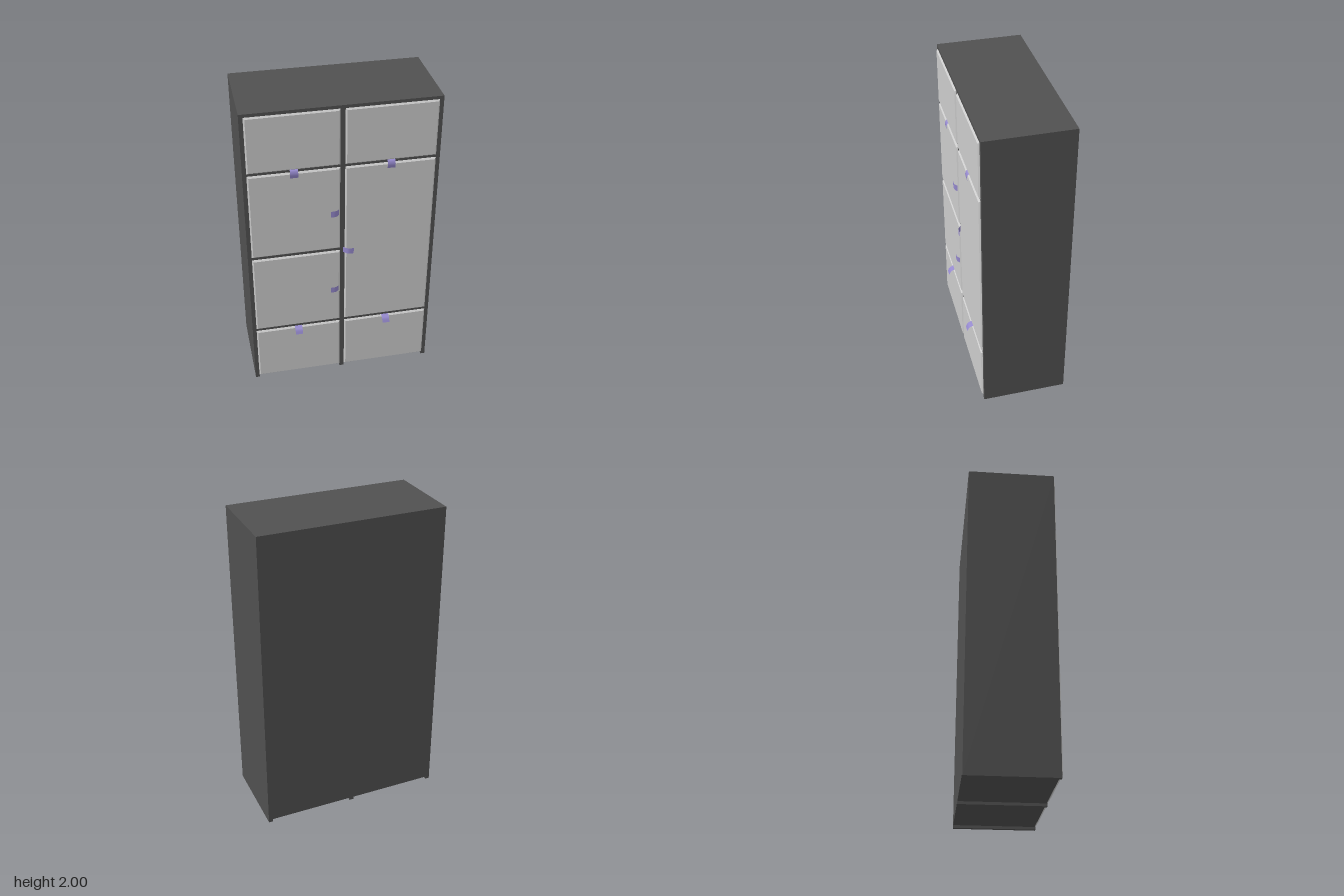
import * as THREE from 'three';

const W = 0.595, BACK = -0.295, FRONT = 0.25, T = 0.028;

const frameMat = new THREE.MeshStandardMaterial({ color: 0x505050 });
const doorMat = new THREE.MeshStandardMaterial({ color: 0xcccccc });
const tabMat = new THREE.MeshStandardMaterial({ color: 0x9488cc, side: THREE.DoubleSide });

// Box given by its minimum and maximum corners
function panel(name, x0, x1, y0, y1, z0 = BACK, z1 = FRONT) {
  const mesh = new THREE.Mesh(new THREE.BoxGeometry(x1 - x0, y1 - y0, z1 - z0), frameMat);
  mesh.position.set((x0 + x1) / 2, (y0 + y1) / 2, (z0 + z1) / 2);
  mesh.name = name;
  return mesh;
}

// Door leaf with chamfered front edges
function door(name, x0, x1, y0, y1) {
  const c = 0.009;
  const shape = new THREE.Shape();
  shape.moveTo(x0 + c, y0 + c);
  shape.lineTo(x1 - c, y0 + c);
  shape.lineTo(x1 - c, y1 - c);
  shape.lineTo(x0 + c, y1 - c);
  const geo = new THREE.ExtrudeGeometry(shape, {
    depth: 0.008, bevelEnabled: true, bevelSegments: 1, bevelSize: c, bevelThickness: 0.009,
  });
  geo.translate(0, 0, 0.243);
  const mesh = new THREE.Mesh(geo, doorMat);
  mesh.name = name;
  return mesh;
}

// Thin curved pull tab, reaching away from the door edge in the direction of angle
function pullTab(name, x, y, angle, width, profile) {
  const curve = new THREE.CatmullRomCurve3(profile.map(([d, z]) => new THREE.Vector3(d, 0, z)));
  const n = 12;
  const geo = new THREE.PlaneGeometry(1, width, n, 1);
  const pos = geo.attributes.position;
  for (let i = 0; i < pos.count; i++) {
    const p = curve.getPoint(THREE.MathUtils.clamp(pos.getX(i) + 0.5, 0, 1));
    pos.setX(i, p.x);
    pos.setZ(i, p.z);
  }
  geo.computeVertexNormals();
  const mesh = new THREE.Mesh(geo, tabMat);
  mesh.position.set(x, y, 0);
  mesh.rotation.z = angle;
  mesh.name = name;
  return mesh;
}

export function createModel() {
  const model = new THREE.Group();
  model.name = 'wardrobe';

  // Carcass: uprights stand on the floor, the rest sits slightly above it
  model.add(
    panel('rightSide', -W, -W + T, 0, 2),
    panel('leftSide', W - T, W, 0, 2),
    panel('centreDivider', -0.015, 0.015, 0, 1.98),
    panel('topPanel', -W + T, W - T, 1.978, 2),
    panel('bottomPanel', -W + T, W - T, 0.018, 0.03, BACK, 0.245),
    panel('backPanel', -W + T, W - T, 0.018, 1.978, BACK, BACK + 0.012),
  );

  // Shelves behind the gaps between the doors
  for (const s of [-1, 1]) {
    const levels = s < 0 ? [0.42, 1.0, 1.605] : [0.42, 1.605];
    for (const y of levels) {
      const x = [s * 0.015, s * (W - T)].sort((a, b) => a - b);
      model.add(panel('shelf', x[0], x[1], y - 0.013, y + 0.013, BACK + 0.012, 0.248));
    }
  }

  // Doors of both columns
  const rows = {
    right: [[0.022, 0.411], [0.43, 0.99], [1.01, 1.596], [1.614, 1.98]],
    left: [[0.022, 0.411], [0.43, 1.596], [1.614, 1.98]],
  };
  for (const [y0, y1] of rows.right) model.add(door('rightDoor', -0.57, -0.015, y0, y1));
  for (const [y0, y1] of rows.left) model.add(door('leftDoor', 0.015, 0.57, y0, y1));

  // Pull tabs on the top and bottom doors
  const upper = [[0, 0.252], [0.006, 0.263], [0.025, 0.27], [0.052, 0.266]];
  const lower = [[0, 0.25], [0.004, 0.262], [0.014, 0.28], [0.04, 0.294]];
  for (const x of [-0.293, 0.293]) {
    model.add(pullTab('upperPull', x, 1.616, -Math.PI / 2, 0.048, upper));
    model.add(pullTab('lowerPull', x, 0.414, -Math.PI / 2, 0.048, lower));
  }

  // Pull tabs on the side-hung doors
  const side = [[0, 0.25], [0.012, 0.262], [0.03, 0.275], [0.063, 0.277]];
  model.add(
    pullTab('sidePull', -0.015, 1.283, Math.PI, 0.042, side),
    pullTab('sidePull', -0.015, 0.697, Math.PI, 0.04, side),
    pullTab('sidePull', 0.005, 0.992, 0, 0.04, side),
  );
  return model;
}
